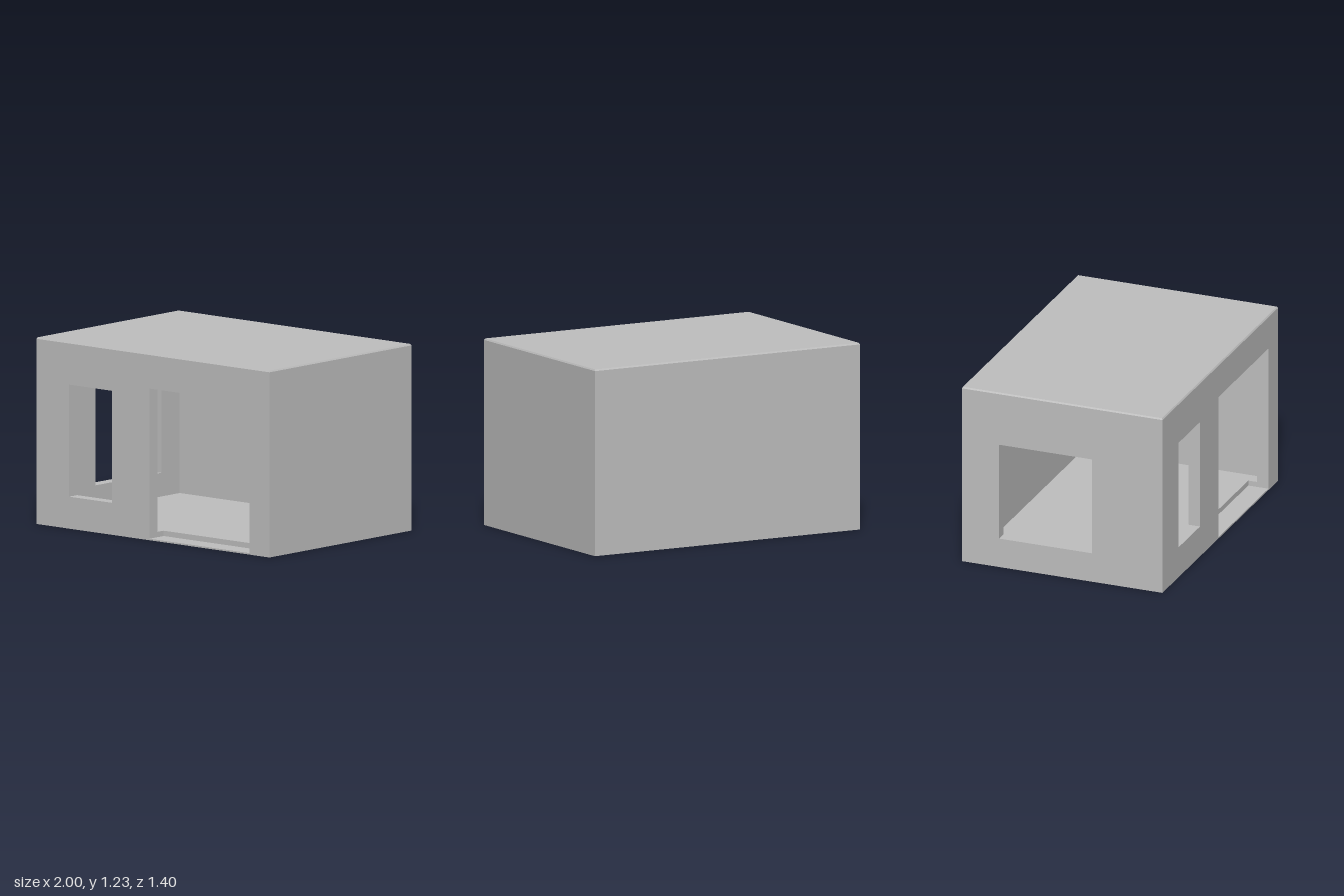
import * as THREE from 'three';

export function createModel() {
  const model = new THREE.Group();
  model.name = 'smallHouse';
  const grey = new THREE.MeshStandardMaterial({ color: 0xbfbfbf });
  grey.name = 'plaster grey';

  const HX = 1, HZ = 0.7, T = 0.08;      // half width, half depth, wall thickness
  const WALL = 1.215, TOP = 1.225;       // wall height, total height
  const FLOOR = 0.045, BASE = 0.01;      // interior floor, door sill

  const add = (name, geometry) => {
    const mesh = new THREE.Mesh(geometry, grey);
    mesh.name = name;
    model.add(mesh);
    return mesh;
  };
  const box = (name, x0, x1, y0, y1, z0, z1) => {
    const mesh = add(name, new THREE.BoxGeometry(x1 - x0, y1 - y0, z1 - z0));
    mesh.position.set((x0 + x1) / 2, (y0 + y1) / 2, (z0 + z1) / 2);
    return mesh;
  };
  // Upright panel with rectangular openings given as [u0, u1, v0, v1]
  const rect = (path, [u0, u1, v0, v1]) =>
    path.moveTo(u0, v0).lineTo(u1, v0).lineTo(u1, v1).lineTo(u0, v1).closePath();
  const panel = (half, openings) => {
    const shape = rect(new THREE.Shape(), [-half, half, 0, WALL]);
    shape.holes = openings.map((o) => rect(new THREE.Path(), o));
    return new THREE.ExtrudeGeometry(shape, { depth: T, bevelEnabled: false });
  };

  // Front wall with window and doorway
  const window = [-0.72, -0.35, 0.21, 0.945];
  const door = [-0.03, 0.83, BASE, 0.995];
  add('frontWall', panel(HX, [window, door])).position.z = HZ - T;

  // Side wall with window
  const side = panel(HZ - T, [[-0.44, 0.21, 0.2, 0.86]]);
  side.rotateY(-Math.PI / 2);
  add('windowSideWall', side).position.x = -HX + T;

  // Plain walls
  box('plainSideWall', HX - T, HX, 0, WALL, -HZ + T, HZ - T);
  box('backWall', -HX, HX, 0, WALL, -HZ, -HZ + T);

  // Floor: thin base, then a raised layer notched behind the doorway
  const ix = HX - T, iz = HZ - T, notch = iz - 0.06;
  box('floorBase', -ix, ix, 0, BASE, -iz, iz);
  box('floor', -ix, ix, BASE, FLOOR, -iz, notch);
  box('floorEdgeWindow', -ix, door[0], BASE, FLOOR, notch, iz);
  box('floorEdgeCorner', door[1], ix, BASE, FLOOR, notch, iz);

  // Ceiling slab between the walls, and a roof cap with a narrow bevel
  box('ceiling', -ix, ix, WALL - 0.07, WALL, -iz, iz);
  const cap = box('roof', -HX, HX, WALL, TOP, -HZ, HZ).geometry;
  const p = cap.attributes.position;
  for (let i = 0; i < p.count; i++) {
    if (p.getY(i) > 0) {
      p.setX(i, p.getX(i) - Math.sign(p.getX(i)) * 0.006);
      p.setZ(i, p.getZ(i) - Math.sign(p.getZ(i)) * 0.006);
    }
  }
  cap.computeVertexNormals();

  return model;
}
